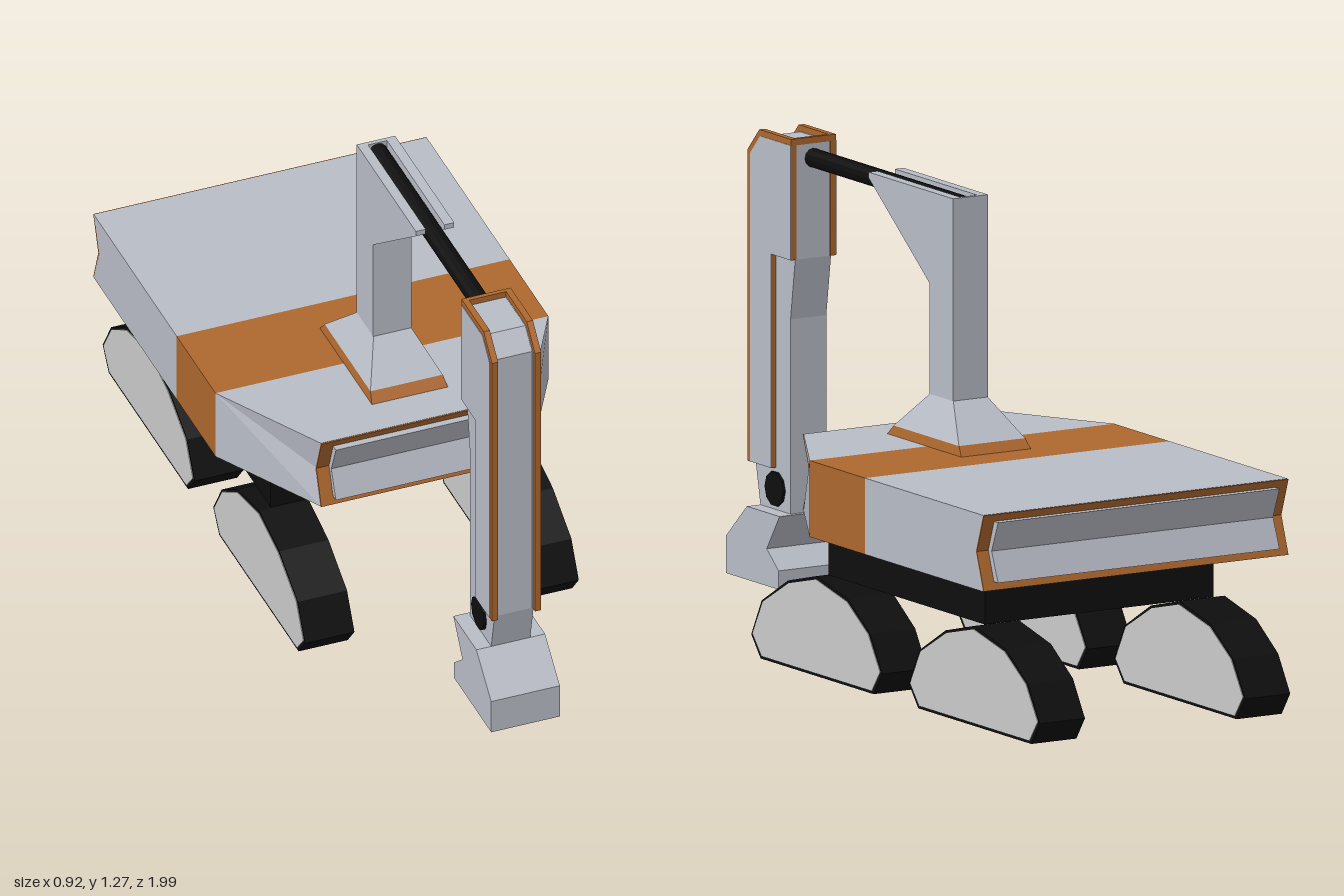
import * as THREE from 'three';

const mat = (color) => new THREE.MeshStandardMaterial({ color, flatShading: true });
const grey = mat(0xcccccc), steel = mat(0xb9bdc7), orange = mat(0xae682e), black = mat(0x0e0e0e);

export function createModel() {
  const root = new THREE.Group();

  const add = (name, geometry, material, parent = root) => {
    const mesh = new THREE.Mesh(geometry, material);
    mesh.name = name;
    parent.add(mesh);
    return mesh;
  };

  // Side profile of [z, y] points, extruded across x from x0 to x1
  const slab = (points, x0, x1) => {
    const shape = new THREE.Shape(points.map(([z, y]) => new THREE.Vector2(z, y)));
    const geo = new THREE.ExtrudeGeometry(shape, { depth: x1 - x0, bevelEnabled: false });
    return geo.rotateY(-Math.PI / 2).translate(x1, 0, 0);
  };

  // Four-sided frustum; each rectangle is { y, x (half width), z0, z1 }
  const frustum = (low, high) => {
    const geo = new THREE.BoxGeometry(2, 2, 2);
    const p = geo.attributes.position;
    for (let i = 0; i < p.count; i++) {
      const r = p.getY(i) > 0 ? high : low;
      p.setXYZ(i, p.getX(i) * r.x, r.y, p.getZ(i) > 0 ? r.z1 : r.z0);
    }
    geo.computeVertexNormals();
    return geo;
  };

  // Four crawler tracks with pale side panels
  const track = [[0.418, 0.056], [0.372, 0], [-0.18, 0], [-0.222, 0.06], [-0.163, 0.155],
    [-0.056, 0.227], [0.099, 0.262], [0.238, 0.227], [0.367, 0.153]];
  const inset = track.map(([z, y]) => [0.098 + (z - 0.098) * 0.975, 0.12 + (y - 0.12) * 0.94]);
  for (const side of [1, -1]) {
    for (const z of [0, -0.77]) {
      const unit = new THREE.Group();
      unit.name = (z ? 'rear' : 'front') + (side > 0 ? 'Left' : 'Right') + 'Track';
      unit.position.set(side * 0.31, 0, z);
      add('trackBelt', slab(track, -0.068, 0.068), black, unit);
      add('trackPanels', slab(inset, -0.07, 0.07), grey, unit);
      root.add(unit);
    }
  }

  // Undercarriage slab
  add('undercarriage', new THREE.BoxGeometry(0.69, 0.13, 0.765).translate(0, 0.327, -0.288), black);

  // Hull: rear block, coloured band and tapering nose, with notched ends
  add('rearHull', slab([[-0.27, 0.39], [-0.27, 0.59], [-0.847, 0.59], [-0.812, 0.49],
    [-0.847, 0.39]], -0.46, 0.46), steel);
  add('hullBand', new THREE.BoxGeometry(0.92, 0.2, 0.27).translate(0, 0.49, -0.135), orange);
  const nose = slab([[0, 0.39], [0.305, 0.39], [0.27, 0.49], [0.305, 0.59], [0, 0.59], [0, 0.49]], -1, 1);
  const np = nose.attributes.position;
  for (let i = 0; i < np.count; i++) np.setX(i, np.getX(i) * (np.getZ(i) > 0.1 ? 0.29 : 0.46));
  nose.computeVertexNormals();
  add('noseHull', nose, steel);

  // Notched end frames and the raised panels inside them
  const chevron = (end, dir, y0, y1, notch, thick) => {
    const edge = [[end, y1], [end - dir * notch, 0.49], [end, y0]];
    return [...edge, ...edge.map(([z, y]) => [z - dir * thick, y]).reverse()];
  };
  for (const [name, end, dir, w] of [['front', 0.305, 1, 0.29], ['rear', -0.847, -1, 0.46]]) {
    add(name + 'Frame', slab(chevron(end + dir * 0.004, dir, 0.391, 0.589, 0.035, 0.008), -w, w), orange);
    add(name + 'Panel', slab(chevron(end + dir * 0.017, dir, 0.412, 0.57, 0.032, 0.04), 0.035 - w, w - 0.035), steel);
  }

  // Pedestal under the post
  const foot = { y: 0.59, x: 0.105, z0: -0.167, z1: 0.195 };
  const rim = { y: 0.615, x: 0.1, z0: -0.147, z1: 0.172 };
  const neck = { y: 0.71, x: 0.052, z0: -0.042, z1: 0.073 };
  add('pedestalTrim', frustum(foot, rim), orange);
  add('pedestal', frustum(rim, neck), steel);

  // Post with a slotted, forward-leaning head
  const cheek = [[-0.042, 0.71], [0.073, 0.71], [0.073, 1.0], [0.37, 1.225], [0.37, 1.24], [-0.042, 1.24]];
  const core = [[-0.042, 0.71], [0.073, 0.71], [0.073, 1.0], [0.31, 1.18], [-0.03, 1.18],
    [-0.03, 1.24], [-0.042, 1.24]];
  for (const side of [1, -1]) {
    add('postCheek', slab(cheek, Math.min(side * 0.026, side * 0.053), Math.max(side * 0.026, side * 0.053)), steel);
  }
  add('postCore', slab(core, -0.026, 0.026), steel);

  // Boom rod
  add('boomRod', new THREE.CylinderGeometry(0.025, 0.025, 0.78, 12)
    .rotateX(Math.PI / 2).translate(0, 1.212, 0.36), black);

  // Arm core
  add('armCore', slab([[0.92, 0.39], [0.92, 1.2], [0.872, 1.25], [0.727, 1.25], [0.727, 0.95],
    [0.75, 0.79], [0.75, 0.28], [0.897, 0.28]], -0.054, 0.054), steel);

  // Side plates with coloured edges, and their plain outer faces
  const plate = [[0.938, 0.39], [0.938, 1.205], [0.88, 1.267], [0.725, 1.267], [0.725, 0.95],
    [0.82, 0.95], [0.82, 0.39]];
  const skin = [[0.923, 0.391], [0.923, 1.199], [0.874, 1.251], [0.726, 1.251], [0.726, 0.951],
    [0.821, 0.951], [0.821, 0.391]];
  for (const side of [1, -1]) {
    const label = side > 0 ? 'left' : 'right';
    const c = side * 0.0595;
    add(label + 'ArmPlate', slab(plate, c - 0.0085, c + 0.0085), orange);
    add(label + 'ArmSkin', slab(skin, c - 0.0098, c + 0.0098), steel);
  }
  add('armTopTrim', new THREE.BoxGeometry(0.11, 0.017, 0.012).translate(0, 1.2585, 0.731), orange);

  // Bucket pin
  add('bucketPin', new THREE.CylinderGeometry(0.046, 0.046, 0.122, 10)
    .rotateZ(Math.PI / 2).translate(0, 0.335, 0.82), black);

  // Bucket
  add('bucket', slab([[0.897, 0.28], [0.737, 0.28], [0.8, 0.185], [0.742, 0.137], [0.742, 0.088],
    [1.0, 0.088], [1.0, 0.185]], -0.095, 0.095), steel);

  return root;
}
